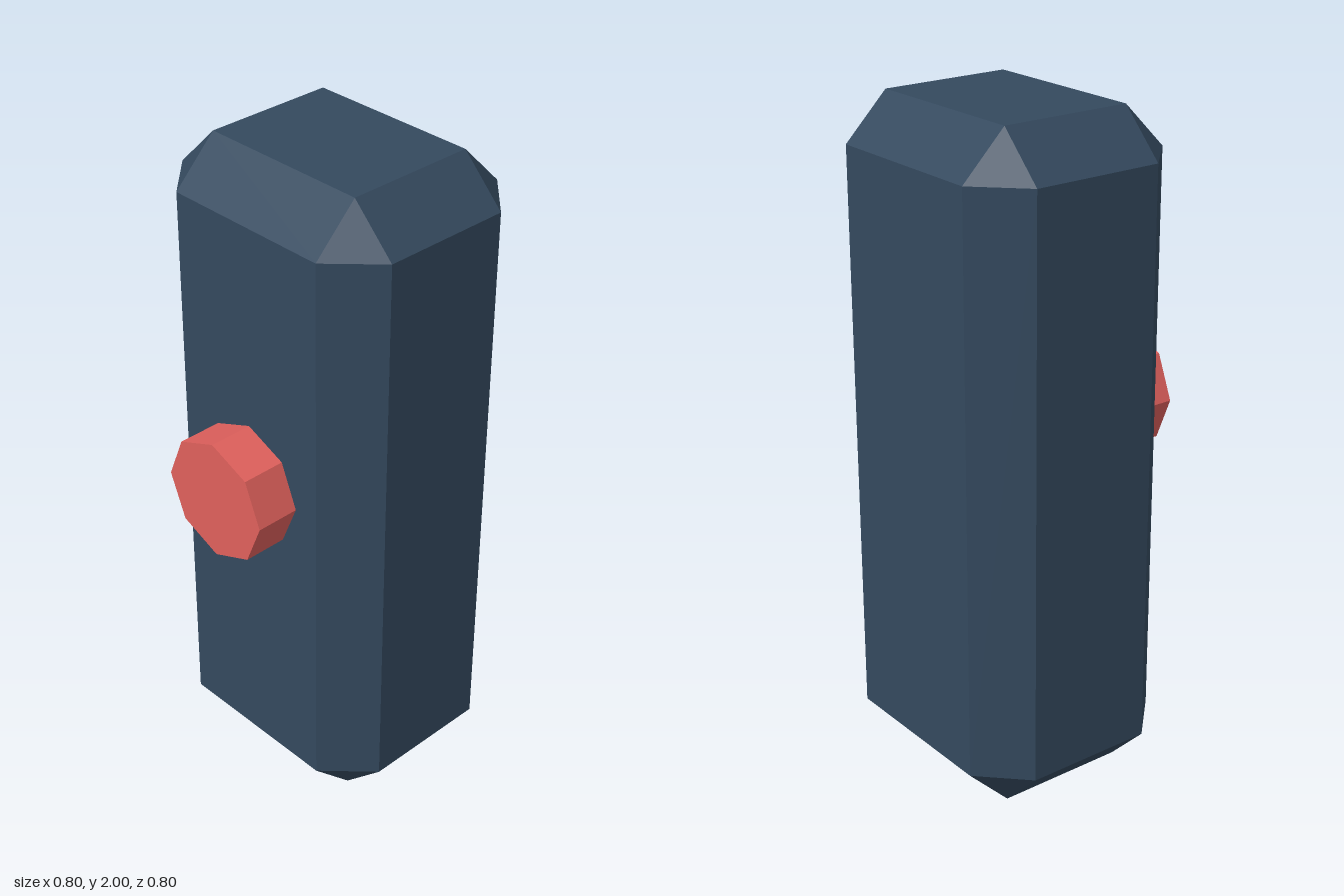
import * as THREE from 'three';
import { ConvexGeometry } from 'three/addons/geometries/ConvexGeometry.js';

// Box with all edges cut at 45 degrees, leaving a small triangle on each corner
function chamferedBox(w, h, d, c) {
  const points = [];
  for (const sx of [-1, 1]) for (const sy of [-1, 1]) for (const sz of [-1, 1]) {
    const x = w / 2, y = h / 2, z = d / 2;
    points.push(
      new THREE.Vector3(sx * x, sy * (y - c), sz * (z - c)),
      new THREE.Vector3(sx * (x - c), sy * y, sz * (z - c)),
      new THREE.Vector3(sx * (x - c), sy * (y - c), sz * z)
    );
  }
  return new ConvexGeometry(points);
}

export function createModel() {
  const model = new THREE.Group();
  model.name = 'buttonHandle';

  const slate = new THREE.MeshStandardMaterial({ color: 0x34495e, flatShading: true });
  slate.name = 'slate blue';
  const red = new THREE.MeshStandardMaterial({ color: 0xdf605c, flatShading: true });
  red.name = 'coral red';

  // Tall chamfered body, set back to leave room for the button
  const body = new THREE.Mesh(chamferedBox(0.8, 2, 0.6667, 0.1333), slate);
  body.name = 'body';
  body.position.set(0, 1, -0.0667);
  model.add(body);

  // Octagonal push button on the front face
  const button = new THREE.Mesh(new THREE.CylinderGeometry(0.1867, 0.1867, 0.1333, 8), red);
  button.name = 'button';
  button.rotation.x = Math.PI / 2;
  button.position.set(0, 1.0667, 0.3333);
  model.add(button);

  return model;
}
